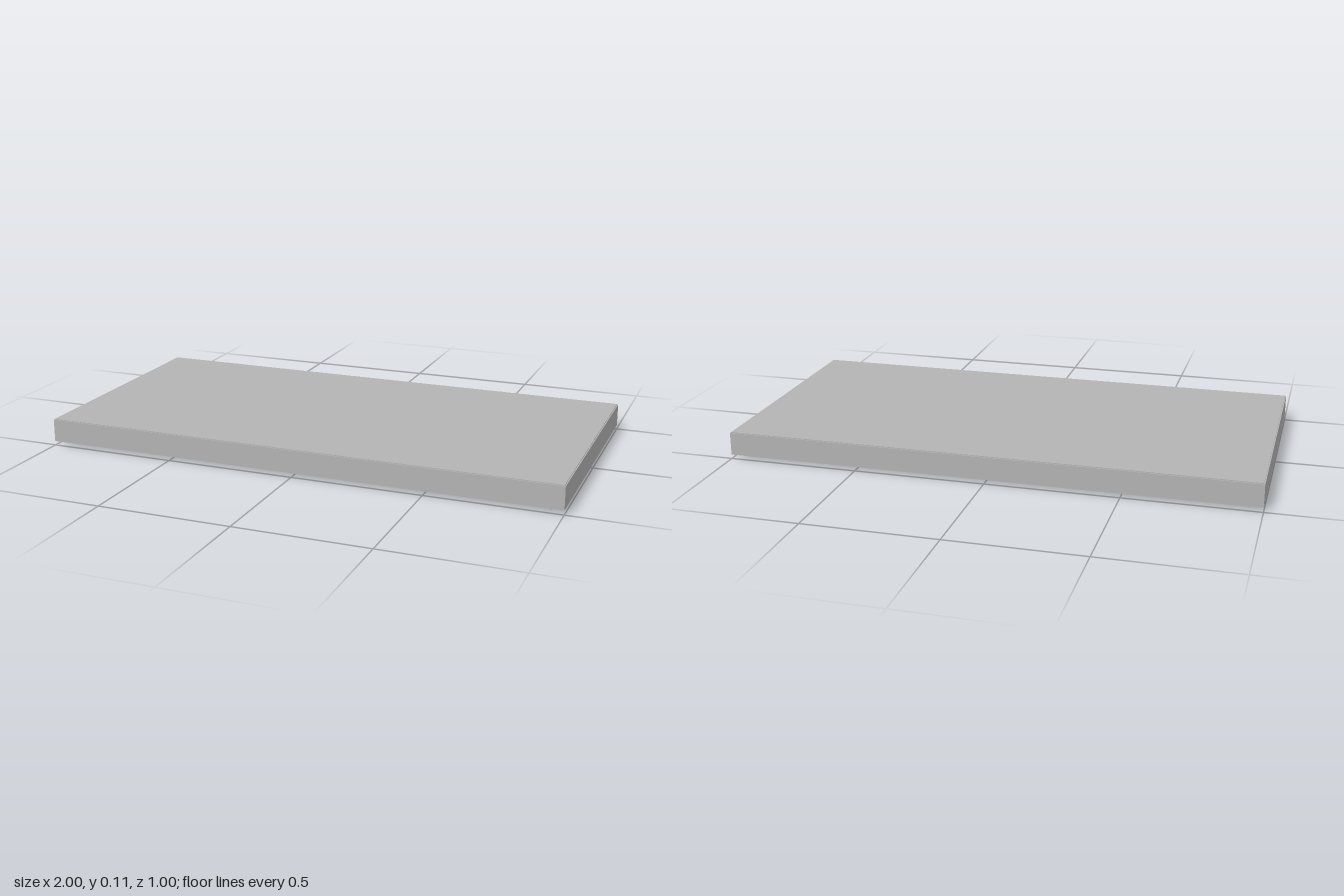
import * as THREE from 'three';

export function createModel() {
  const model = new THREE.Group();
  const grey = new THREE.MeshStandardMaterial({ color: 0xb3b3b3 });
  grey.name = 'grey metal';

  const add = (parent, name, geometry) => {
    const mesh = new THREE.Mesh(geometry, grey);
    mesh.name = name;
    parent.add(mesh);
    return mesh;
  };
  // Box given by its minimum and maximum on each axis
  const box = (parent, name, x0, x1, y0, y1, z0, z1) => {
    const mesh = add(parent, name, new THREE.BoxGeometry(x1 - x0, y1 - y0, z1 - z0));
    mesh.position.set((x0 + x1) / 2, (y0 + y1) / 2, (z0 + z1) / 2);
    return mesh;
  };
  // Horizontal plate from [x, z] outlines
  const plate = (parent, name, outline, hole, y0, y1) => {
    const points = (list) => list.map(([x, z]) => new THREE.Vector2(x, z));
    const shape = new THREE.Shape(points(outline));
    if (hole) shape.holes.push(new THREE.Path(points(hole)));
    const geometry = new THREE.ExtrudeGeometry(shape, { depth: y1 - y0, bevelEnabled: false });
    geometry.rotateX(Math.PI / 2);
    const mesh = add(parent, name, geometry);
    mesh.position.y = y1;
    return mesh;
  };
  const rect = (x, z) => [[-x, -z], [x, -z], [x, z], [-x, z]];

  // Deck board inside a channel frame with an inward bottom lip
  box(model, 'deckBoard', -0.996, 0.996, 0.078, 0.106, -0.496, 0.496);
  plate(model, 'frameWall', rect(1, 0.5), rect(0.985, 0.485), 0.016, 0.103);
  plate(model, 'frameLip', rect(0.99, 0.49), rect(0.95, 0.45), 0.016, 0.04);

  // Cross beams under the deck
  for (const x of [-0.5, 0, 0.5]) {
    box(model, 'crossBeam', x - 0.025, x + 0.025, 0.04, 0.08, -0.47, 0.47);
  }

  // Corner brackets: gusset, diagonal wall, leg pad and locking latch
  for (const sx of [-1, 1]) {
    for (const sz of [-1, 1]) {
      const corner = new THREE.Group();
      corner.name = 'cornerBracket';
      model.add(corner);
      const place = (list) => list.map(([x, z]) => [x * sx, z * sz]);

      plate(corner, 'gusset',
        place([[0.985, 0.485], [0.8, 0.485], [0.8, 0.46], [0.95, 0.34], [0.985, 0.34]]),
        place([[0.9, 0.41], [0.935, 0.41], [0.935, 0.44], [0.9, 0.44]]), 0.016, 0.024);

      const wall = add(corner, 'diagonalWall', new THREE.BoxGeometry(0.192, 0.06, 0.008));
      wall.position.set(0.875 * sx, 0.049, 0.402 * sz);
      wall.rotation.y = Math.atan2(0.12, 0.15) * sx * sz;

      const pad = box(corner, 'legPad', -0.05, 0.05, 0.074, 0.079, -0.05, 0.05);
      pad.position.x = 0.85 * sx;
      pad.position.z = 0.35 * sz;

      // Latches on the two ends are half-turn copies of each other
      const latch = new THREE.Group();
      latch.name = 'latch';
      const shift = sx * sz > 0 ? 0 : -0.83;
      box(latch, 'latchFoot', 0.944, 0.95, 0, 0.017, 0.405 + shift, 0.47 + shift);
      box(latch, 'latchPlate', 0.885, 0.948, 0.009, 0.017, 0.387 + shift, 0.45 + shift);
      if (sx < 0) latch.rotation.y = Math.PI;
      corner.add(latch);
    }
  }
  return model;
}
